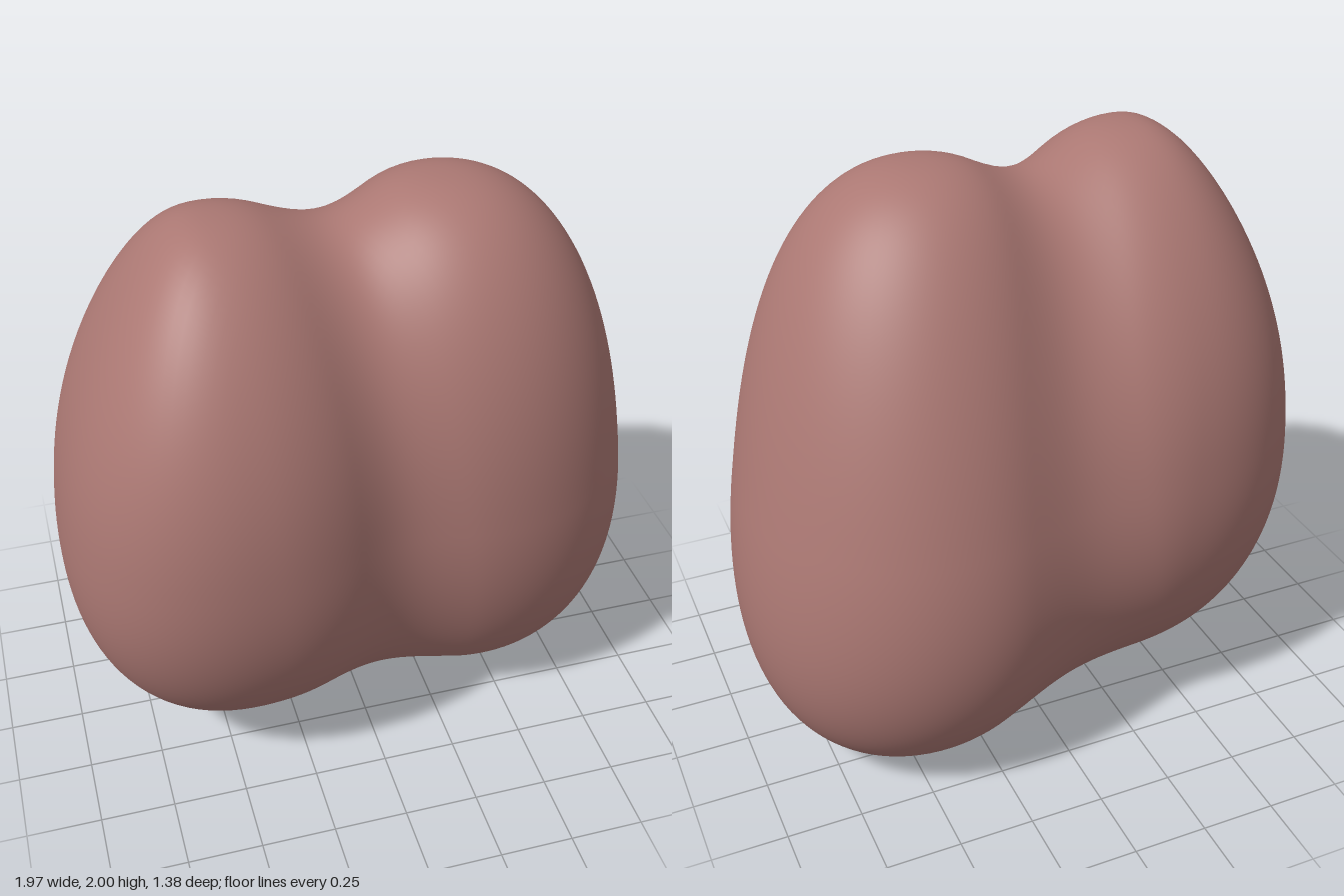
import * as THREE from 'three';
import { mergeVertices } from 'three/addons/utils/BufferGeometryUtils.js';

// Egg-like lobe: cross-sections are skewed ovals whose centre and radii drift with height.
// Negative inside, positive outside; pTop and pBottom set how blunt each end is,
// qOuter how square the outward half of each cross-section is.
function lobe(x, y, z, { cy, ry, side, skew, pTop, pBottom, qOuter, at }) {
  const w = (y - cy) / ry;
  const { cx, cz, outer, inner, rz } = at(THREE.MathUtils.clamp(w, -1, 1));
  const dx = x - cx;
  const dz = z - cz - skew * dx;
  const isOuter = dx * side > 0;
  const q = isOuter ? qOuter : 2;
  const u = Math.abs(dx) / (isOuter ? outer : inner);
  const r = Math.pow(Math.pow(u, q) + Math.pow(Math.abs(dz) / rz, q), 1 / q);
  const p = w > 0 ? pTop : pBottom;
  return Math.pow(Math.pow(r, p) + Math.pow(Math.abs(w), p), 1 / p) - 1;
}

// lobe on +x: reaches the ground, leans backward towards its base
const leftLobe = {
  cy: 1, ry: 1, side: 1, skew: 0, pTop: 2.4, pBottom: 2, qOuter: 2.05,
  at: (w) => {
    const rx = 0.58 - 0.115 * w + 0.06 * w * w;
    return {
      cx: 0.37 - 0.08 * w, cz: -0.047 + 0.12 * w - 0.045 * w ** 3,
      outer: rx, inner: rx, rz: 0.602 - 0.1 * w - 0.015 * w * w,
    };
  },
};

// lobe on -x: slightly raised and set forward
const rightLobe = {
  cy: 1.06, ry: 0.94, side: -1, skew: -0.1, pTop: 2.4, pBottom: 2.4, qOuter: 2.35,
  at: (w) => ({
    cx: -0.39 - 0.06 * w, cz: 0.055 + 0.055 * w,
    outer: 0.59 - 0.145 * w - 0.11 * w * w, inner: 0.61 - 0.1 * w,
    rz: 0.635 - 0.045 * w - 0.13 * w * w,
  }),
};

// smooth blend of the two lobes
function field(x, y, z) {
  const k = 0.36;
  const a = lobe(x, y, z, leftLobe);
  const b = lobe(x, y, z, rightLobe);
  const h = Math.max(k - Math.abs(a - b), 0) / k;
  return Math.min(a, b) - h * h * k * 0.25;
}

function bodyGeometry() {
  let geo = new THREE.IcosahedronGeometry(1, 36);
  geo.deleteAttribute('uv');
  geo.deleteAttribute('normal');
  geo = mergeVertices(geo, 1e-5);
  const pos = geo.attributes.position;
  const d = new THREE.Vector3();
  // push every vertex out along its ray to the blended surface
  for (let i = 0; i < pos.count; i++) {
    d.fromBufferAttribute(pos, i).normalize();
    let lo = 0, hi = 1.7;
    for (let n = 0; n < 26; n++) {
      const t = (lo + hi) / 2;
      if (field(d.x * t, 1 + d.y * t, d.z * t) < 0) lo = t;
      else hi = t;
    }
    pos.setXYZ(i, d.x * lo, 1 + d.y * lo, d.z * lo);
  }
  geo.computeVertexNormals();
  return geo;
}

export function createModel() {
  const group = new THREE.Group();
  group.name = 'twoLobedBody';
  const dustyRose = new THREE.MeshStandardMaterial({ color: 0xab7873 });
  dustyRose.name = 'dustyRose';
  const body = new THREE.Mesh(bodyGeometry(), dustyRose);
  body.name = 'body';
  group.add(body);
  return group;
}
